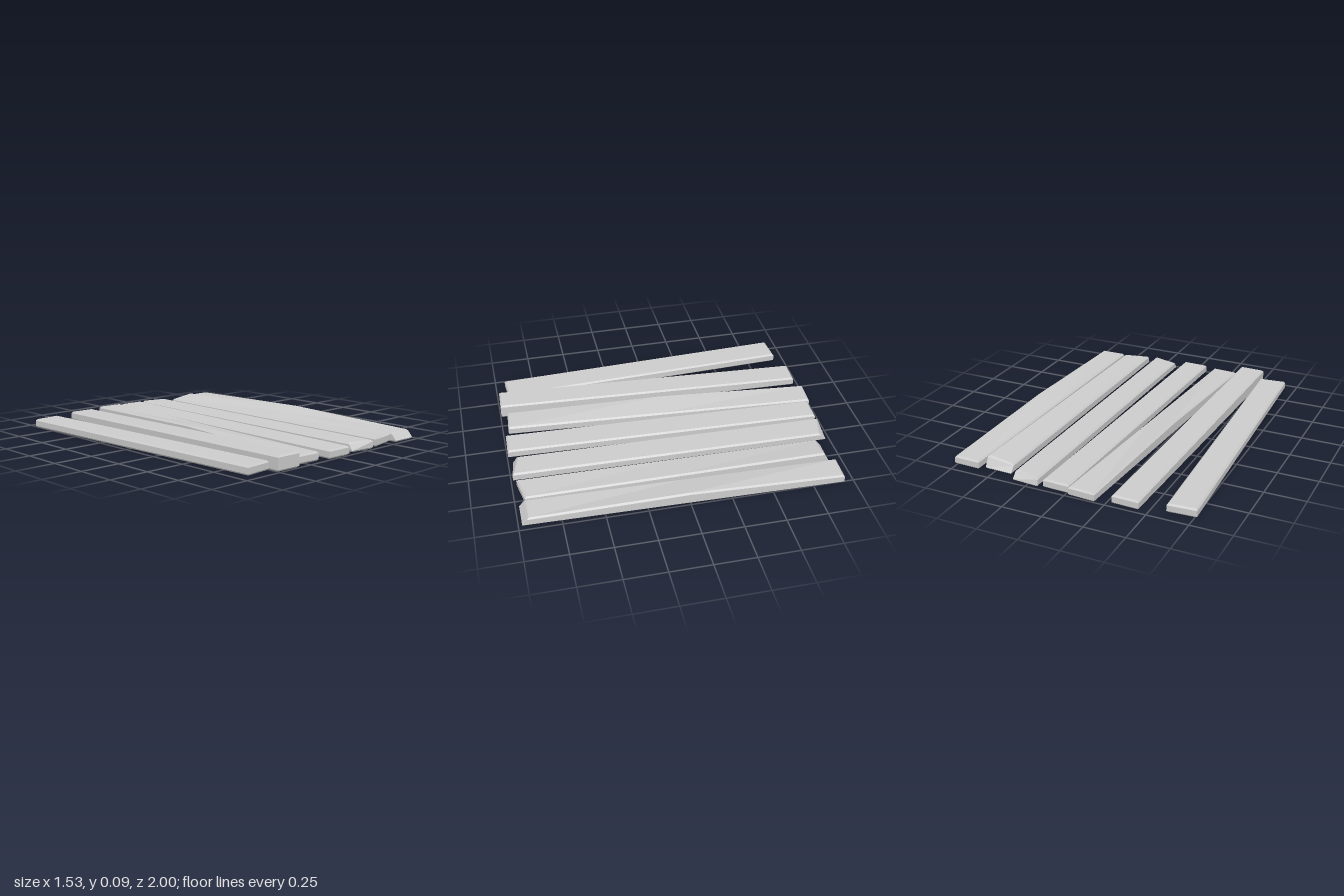
import * as THREE from 'three';

const BEVEL = 0.01;
const H = 0.055;

// Footprint corners are [x, z] in the order back left, front left, front right, back right.
// h: top heights (same order), mid: heights halfway along left and right edges,
// topZ: z shift of each top corner, for slanted saw cuts.
const PLANKS = [
  { c: [[-0.765, -0.92], [-0.68, 0.94], [-0.505, 0.925], [-0.59, -0.93]] },
  { c: [[-0.445, -0.975], [-0.505, 0.99], [-0.34, 0.995], [-0.28, -0.97]], h: [H, 0.09, 0.09, H], mid: [0.073, 0.073] },
  { c: [[-0.19, -1], [-0.315, 0.957], [-0.147, 0.967], [-0.02, -0.99]], mid: [0.077, H] },
  { c: [[-0.015, -0.975], [-0.08, 0.99], [0.088, 0.995], [0.15, -0.97]] },
  { c: [[0.18, -0.982], [0.147, 0.97], [0.315, 0.988], [0.347, -0.972]], topZ: [0.008, -0.025, 0, 0.035] },
  { c: [[0.39, -0.918], [0.365, 0.972], [0.54, 0.94], [0.565, -0.915]], h: [H, H, H, 0.077], mid: [H, 0.066], topZ: [0.03, 0, 0, 0.03] },
  { c: [[0.595, -0.942], [0.555, 0.978], [0.722, 0.978], [0.762, -0.938]], mid: [H, 0.077], topZ: [0, -0.03, -0.03, 0] },
];

function plankGeometry({ c, h = [H, H, H, H], mid = [H, H], topZ = [0, 0, 0, 0] }) {
  const half = (a, b) => [(a[0] + b[0]) / 2, (a[1] + b[1]) / 2];
  // Six-point outline with a point halfway along each long edge
  const outline = (s) => {
    const p = c.map(([x, z], i) => [x, z + s * topZ[i]]);
    return [p[0], half(p[0], p[1]), p[1], p[2], half(p[2], p[3]), p[3]];
  };
  const tops = [h[0], mid[0], h[1], h[2], mid[1], h[3]];
  const sideX = [1, 1, 1, -1, -1, -1];
  const endZ = [1, 0, -1, -1, 0, 1];
  const ring = (s, inset, y) => outline(s).map(([x, z], i) =>
    [x + sideX[i] * inset, y(tops[i]), z + endZ[i] * inset]);

  // Bottom, lower wall, upper wall and top rings with chamfers between
  const rings = [
    ring(0, BEVEL, () => 0),
    ring(0, 0, () => BEVEL),
    ring(1, 0, (t) => t - BEVEL),
    ring(1, BEVEL, (t) => t),
  ];
  const index = [];
  const quad = (a, b, d, e) => index.push(a, b, d, a, d, e);
  for (let r = 0; r < 3; r++) {
    for (let i = 0; i < 6; i++) {
      const j = (i + 1) % 6;
      quad(r * 6 + i, r * 6 + j, r * 6 + 6 + j, r * 6 + 6 + i);
    }
  }
  quad(18, 19, 22, 23);
  quad(19, 20, 21, 22);
  quad(5, 4, 1, 0);
  quad(4, 3, 2, 1);

  const indexed = new THREE.BufferGeometry();
  indexed.setAttribute('position', new THREE.Float32BufferAttribute(rings.flat(2), 3));
  indexed.setIndex(index);
  const geometry = indexed.toNonIndexed();
  geometry.computeVertexNormals();
  return geometry;
}

export function createModel() {
  const group = new THREE.Group();
  group.name = 'plankFloor';
  const grey = new THREE.MeshStandardMaterial({ color: 0xcccccc, flatShading: true });
  grey.name = 'plankGrey';
  PLANKS.forEach((plank, i) => {
    const mesh = new THREE.Mesh(plankGeometry(plank), grey);
    mesh.name = `plank${i + 1}`;
    group.add(mesh);
  });
  return group;
}
